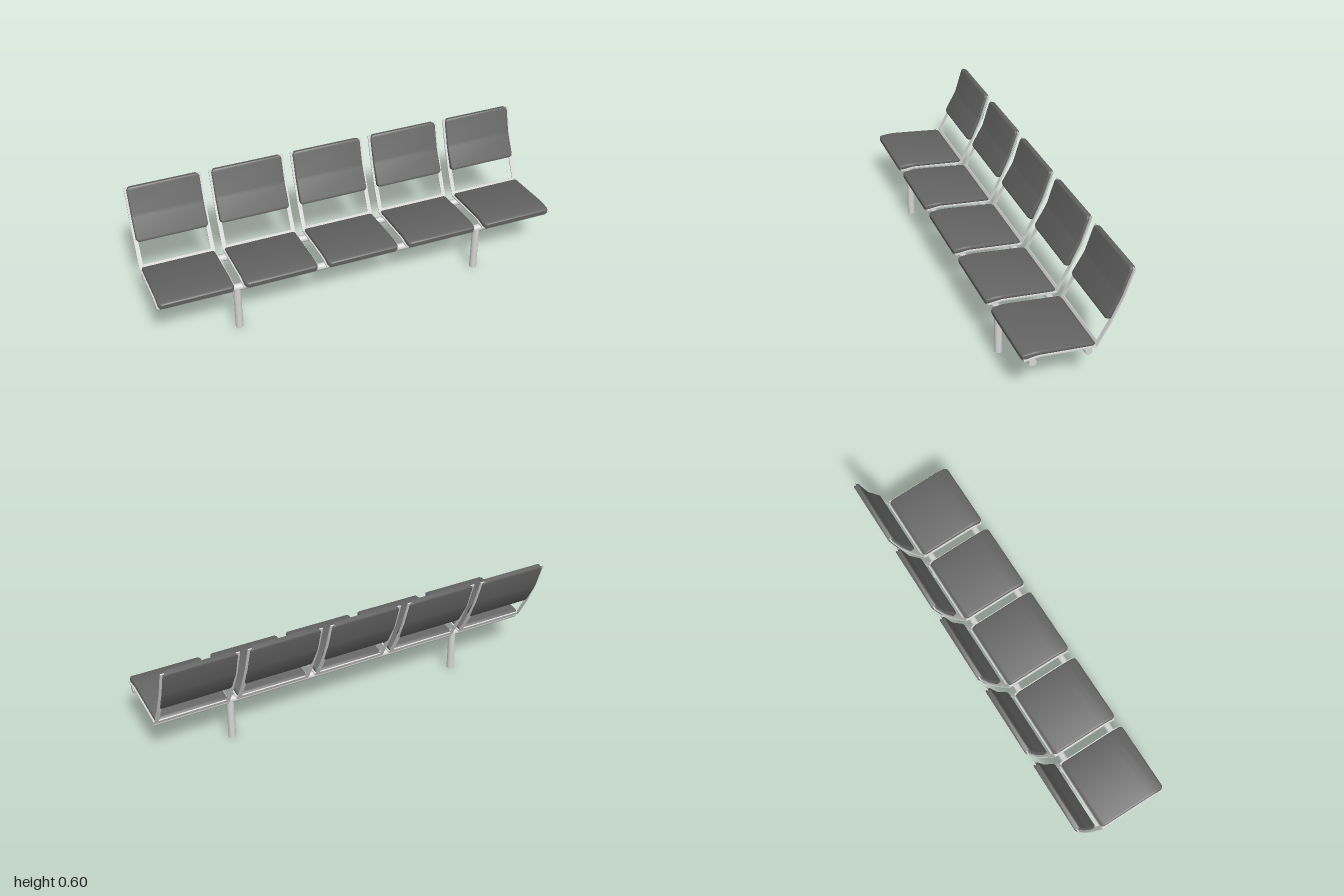
import * as THREE from 'three';
import { toCreasedNormals } from 'three/addons/utils/BufferGeometryUtils.js';

const metal = new THREE.MeshStandardMaterial({ color: 0xd6d6d6 });
metal.name = 'light metal';
const fabric = new THREE.MeshStandardMaterial({ color: 0x646464 });
fabric.name = 'dark grey upholstery';

// Cross-section as [x, thickness] pairs; corner = 0 gives a plain rectangle
function section(w, h, corner) {
  const r = Math.min(corner, h * 0.9);
  const steps = r > 0 ? 3 : 0;
  const pts = [];
  [[1, 1], [-1, 1], [-1, -1], [1, -1]].forEach(([sx, sy], q) => {
    for (let k = 0; k <= steps; k++) {
      const a = (q + (steps ? k / steps : 0)) * Math.PI / 2;
      pts.push([sx * (w - r) + r * Math.cos(a), sy * (h - r) + r * Math.sin(a)]);
    }
  });
  return pts;
}

// Sweeps a section through stations [z, y, halfWidth, halfThickness]
function loft(stations, corner = 0) {
  const pos = [], idx = [];
  let n = 0;
  stations.forEach(([z, y, w, h], i) => {
    const a = stations[Math.max(i - 1, 0)];
    const b = stations[Math.min(i + 1, stations.length - 1)];
    const len = Math.hypot(b[0] - a[0], b[1] - a[1]);
    const nz = (b[1] - a[1]) / len, ny = -(b[0] - a[0]) / len;
    const ring = section(w, h, corner);
    n = ring.length;
    for (const [x, t] of ring) pos.push(x, y + ny * t, z + nz * t);
  });
  const last = (stations.length - 1) * n;
  for (let j = 0; j < n; j++) {
    const k = (j + 1) % n;
    for (let o = 0; o < last; o += n) {
      idx.push(o + j, o + n + j, o + k, o + k, o + n + j, o + n + k);
    }
    if (j > 0 && j < n - 1) {
      idx.push(0, j, j + 1, last, last + j + 1, last + j);
    }
  }
  const g = new THREE.BufferGeometry();
  g.setAttribute('position', new THREE.Float32BufferAttribute(pos, 3));
  g.setIndex(idx);
  return toCreasedNormals(g, 0.6);
}

function add(parent, name, geometry, material, x = 0, y = 0, z = 0) {
  const m = new THREE.Mesh(geometry, material);
  m.name = name;
  m.position.set(x, y, z);
  parent.add(m);
  return m;
}

export function createModel() {
  const bench = new THREE.Group();
  bench.name = 'seatRow';

  // Cushions: ends taper slightly for rounded corners
  const seatGeo = loft([
    [0.256, 0.265, 0.166, 0.011], [0.251, 0.2655, 0.174, 0.0145],
    [0.242, 0.267, 0.178, 0.0155], [0.2, 0.2725, 0.178, 0.012],
    [0.17, 0.272, 0.178, 0.011], [-0.068, 0.2435, 0.178, 0.0095],
    [-0.078, 0.24, 0.176, 0.007], [-0.085, 0.237, 0.17, 0.004],
  ], 0.008);
  const backGeo = loft([
    [-0.138, 0.354, 0.162, 0.010], [-0.141, 0.359, 0.17, 0.0135],
    [-0.145, 0.366, 0.174, 0.0145], [-0.195, 0.455, 0.174, 0.0135],
    [-0.203, 0.473, 0.174, 0.0135], [-0.238, 0.586, 0.174, 0.0135],
    [-0.24, 0.594, 0.17, 0.013], [-0.2415, 0.599, 0.162, 0.011],
  ], 0.006);

  // Bent flat bar running under the seat and up the back
  const barGeo = loft([
    [0.25, 0.257], [0.181, 0.263], [-0.086, 0.232],
    [-0.148, 0.348], [-0.2, 0.464], [-0.243, 0.596],
  ].map(([z, y]) => [z, y, 0.01, 0.003]));
  // Cross strip at the bend
  const crossGeo = loft([
    [-0.066, 0.2343], [-0.086, 0.232], [-0.096, 0.251],
  ].map(([z, y]) => [z, y, 0.166, 0.003]));

  for (let i = -2; i <= 2; i++) {
    const seat = new THREE.Group();
    seat.name = 'seat';
    seat.position.x = i * 0.4075;
    add(seat, 'seatCushion', seatGeo, fabric);
    add(seat, 'backCushion', backGeo, fabric);
    add(seat, 'rearCrossStrip', crossGeo, metal);
    for (const s of [-1, 1]) add(seat, 'sideBar', barGeo, metal, s * 0.175);
    bench.add(seat);
  }

  // Long beams and their legs
  for (const [label, z, y] of [['front', 0.209, 0.236], ['rear', -0.052, 0.214]]) {
    const beam = new THREE.CylinderGeometry(0.018, 0.018, 1.996, 8);
    add(bench, label + 'Beam', beam, metal, 0, y, z).rotation.z = Math.PI / 2;
    const leg = new THREE.CylinderGeometry(0.018, 0.018, y, 16);
    for (const s of [-1, 1]) add(bench, label + 'Leg', leg, metal, s * 0.615, y / 2, z);
  }
  return bench;
}
